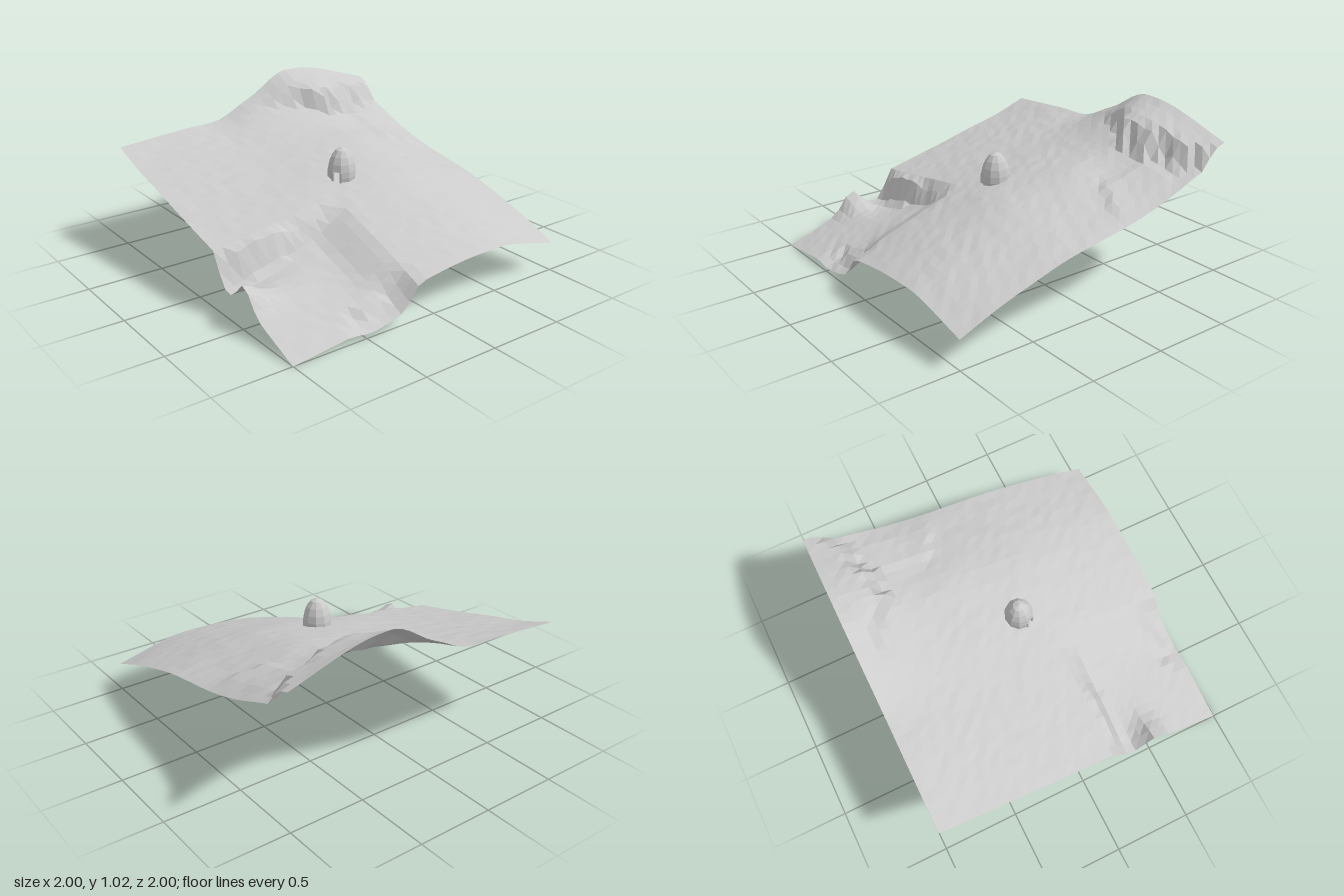
import * as THREE from 'three';

// Cross-sections of the hillside: heights along x at several z stations
const XS = [-1, -0.75, -0.5, -0.25, 0, 0.25, 0.5, 0.75, 1];
const ZS = [-1, -0.6, -0.4, -0.2, 0, 0.25, 0.5, 1];
const SECTIONS = [
  [0.78, 0.695, 0.60, 0.53, 0.485, 0.44, 0.37, 0.29, 0.19],
  [0.90, 0.775, 0.68, 0.635, 0.58, 0.525, 0.45, 0.37, 0.28],
  [0.93, 0.80, 0.71, 0.67, 0.61, 0.55, 0.465, 0.38, 0.285],
  [0.92, 0.785, 0.70, 0.655, 0.605, 0.545, 0.455, 0.37, 0.275],
  [0.86, 0.75, 0.675, 0.63, 0.58, 0.515, 0.43, 0.34, 0.25],
  [0.745, 0.69, 0.635, 0.585, 0.54, 0.475, 0.39, 0.305, 0.21],
  [0.73, 0.665, 0.605, 0.55, 0.495, 0.435, 0.335, 0.245, 0.16],
  [0.69, 0.605, 0.545, 0.48, 0.42, 0.36, 0.28, 0.19, 0.10],
];

// Ragged outline of the crag: z stations and the x of its edge
const CRAG_Z = [-1, -0.85, -0.75, -0.62, -0.5, -0.4, -0.3, -0.1, 1];
const CRAG_X = [-0.88, -0.74, -0.77, -0.69, -0.72, -0.68, -0.78, -0.88, -0.9];

// Smooth curve through sample points
function spline(ts, vs, t) {
  let i = 0;
  while (i < ts.length - 2 && t > ts[i + 1]) i++;
  const slope = (k) => {
    const a = Math.max(k - 1, 0), b = Math.min(k + 1, ts.length - 1);
    return (vs[b] - vs[a]) / (ts[b] - ts[a]);
  };
  const h = ts[i + 1] - ts[i], u = (t - ts[i]) / h, u2 = u * u, u3 = u2 * u;
  return (2 * u3 - 3 * u2 + 1) * vs[i] + (u3 - 2 * u2 + u) * h * slope(i)
    + (3 * u2 - 2 * u3) * vs[i + 1] + (u3 - u2) * h * slope(i + 1);
}

const step = (v, a, b) => THREE.MathUtils.smoothstep(v, a, b);
const mound = (x, z, cx, cz, rx, rz) => Math.exp(-(((x - cx) / rx) ** 2) - ((z - cz) / rz) ** 2);

// Repeatable roughness between -1 and 1
function rough(x, z) {
  const s = Math.sin(x * 127.1 + z * 311.7) * 43758.5453;
  return (s - Math.floor(s)) * 2 - 1;
}

function groundHeight(x, z) {
  let y = spline(ZS, SECTIONS.map((row) => spline(XS, row, x)), z);
  const r = rough(x, z);

  // raised crag in the back corner, highest along its broken edge
  const cragEdge = spline(CRAG_Z, CRAG_X, z) + r * 0.03;
  const cragRise = 0.09 + 0.04 * mound(x, z, -0.78, -0.55, 0.12, 0.3);
  y += cragRise * (1 - step(x, cragEdge - 0.04, cragEdge + 0.04)) * (1 - step(z, -0.32, 0));

  // low curved ledge beside the crag
  const ledgeFront = -0.64 - 0.25 * step(x, -0.35, -0.15);
  y += 0.02 * step(x, -0.72, -0.6) * (1 - step(x, -0.24, -0.16))
    * (1 - step(z, ledgeFront - 0.03, ledgeFront + 0.04)) * step(z, -1, -0.85);

  // sunken basin in the front corner: steep bank on one side, gentler behind
  const bankEdge = 0.25 + 0.04 * mound(x, z, x, 0.75, 1, 0.2) - 0.02 * step(z, 0.85, 1) + r * 0.008;
  const basin = step(x, bankEdge - 0.045, bankEdge + 0.05)
    * step(z, 0.09, 0.38 - 0.15 * step(x, 0.7, 0.95));
  y -= basin * (0.1 + 0.07 * mound(x, z, 0.34, 0.95, 0.13, 0.4));

  // hump on the front rim and broken step at the outer rim
  y += 0.12 * mound(x, z, 0.52, 1.02, 0.09, 0.15);
  const rim = 0.87 + r * 0.05;
  y -= 0.045 * step(x, rim - 0.04, rim + 0.04) * step(z, 0.12, 0.3) * (1 - step(z, 0.42, 0.65));

  // fine roughness away from the border
  return y + 0.003 * r * (Math.abs(x) < 0.99 && Math.abs(z) < 0.99);
}

function makeGround() {
  const geometry = new THREE.PlaneGeometry(2, 2, 32, 32).rotateX(-Math.PI / 2);
  const p = geometry.attributes.position;
  for (let i = 0; i < p.count; i++) p.setY(i, groundHeight(p.getX(i), p.getZ(i)));
  geometry.computeBoundingBox();
  geometry.translate(0, -geometry.boundingBox.min.y, 0);
  geometry.computeVertexNormals();
  return geometry;
}

export function createModel() {
  const model = new THREE.Group();
  const material = new THREE.MeshStandardMaterial({
    color: 0xcccccc, flatShading: true, side: THREE.DoubleSide,
  });
  const add = (parent, name, geometry) => {
    const mesh = new THREE.Mesh(geometry, material);
    mesh.name = name;
    parent.add(mesh);
    return mesh;
  };

  add(model, 'hillside', makeGround());

  // domed hut with a doorway facing downhill
  const hut = new THREE.Group();
  hut.name = 'hut';
  hut.position.set(0.04, 0.545, -0.045);
  hut.rotation.y = 0.55;
  model.add(hut);

  const sides = 10, gap = (Math.PI * 2) / sides;
  const profile = (points) => points.map(([r, y]) => new THREE.Vector2(r, y));
  add(hut, 'dome', new THREE.LatheGeometry(
    profile([[0.093, 0.075], [0.085, 0.12], [0.066, 0.165], [0.038, 0.202], [0, 0.218]]),
    sides, gap / 2));
  add(hut, 'wall', new THREE.LatheGeometry(
    profile([[0.088, 0], [0.094, 0.035], [0.093, 0.075]]),
    sides - 1, gap / 2, gap * (sides - 1)));
  add(hut, 'floor', new THREE.CylinderGeometry(0.088, 0.08, 0.012, sides, 1, false, gap / 2));

  // door posts
  for (const side of [-1, 1]) {
    const post = add(hut, 'doorPost', new THREE.BoxGeometry(0.012, 0.075, 0.022));
    post.position.set(side * 0.027, 0.0375, 0.08);
  }
  return model;
}
